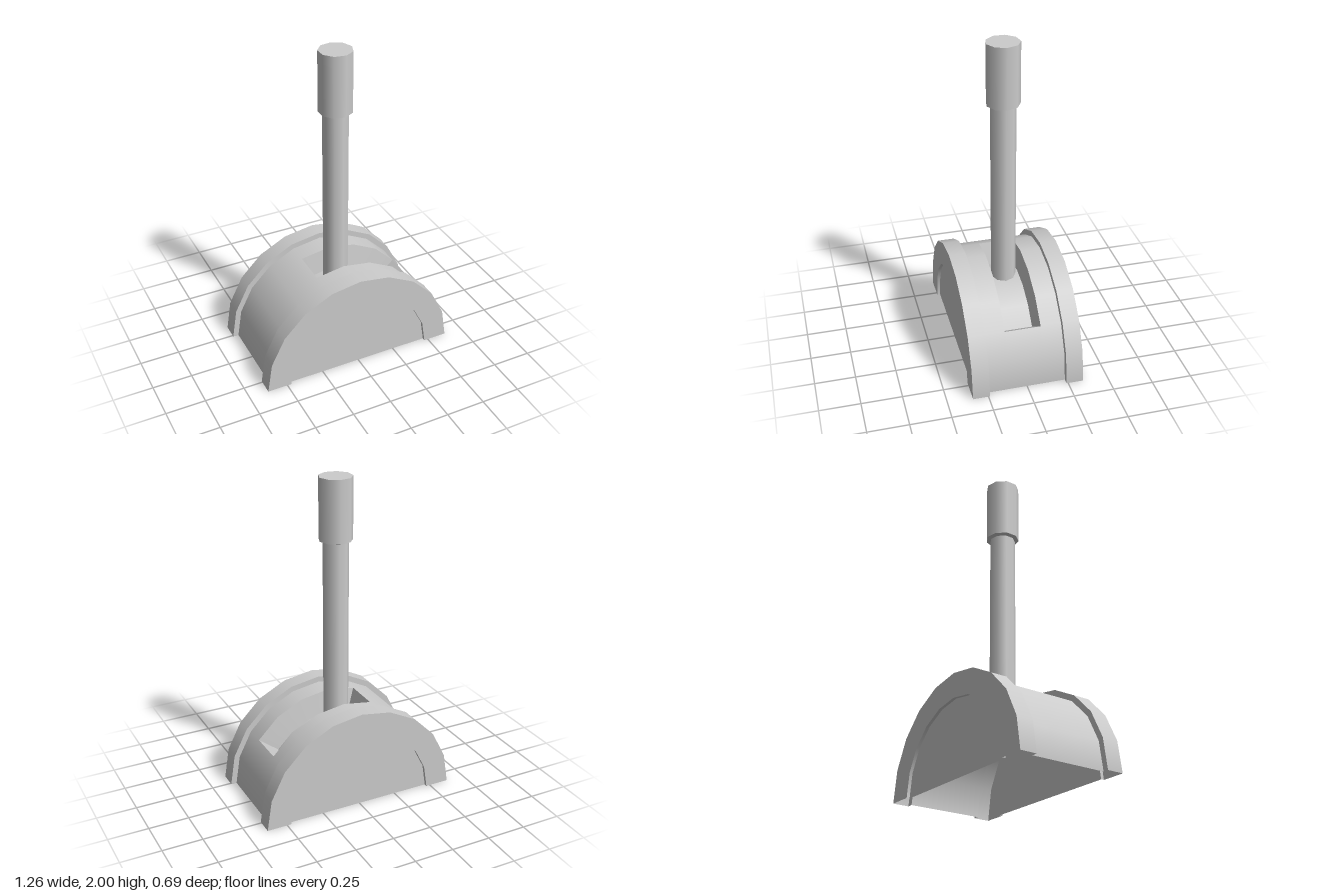
import * as THREE from 'three';
import { mergeGeometries } from 'three/addons/utils/BufferGeometryUtils.js';

const mat = new THREE.MeshStandardMaterial({ color: 0xcccccc, side: THREE.DoubleSide });
const STEP = Math.PI / 10; // one facet of the housing arc
const R_FLANGE = 0.628, R_DRUM = 0.592, R_FLOOR = 0.443, R_DISC = 0.475;
const Z_END = 0.345, Z_DRUM = 0.24, Z_DISC = 0.325;

// Sweeps a [radius, depth] profile about the z axis, from facet a to facet b
// counted from the top towards +x. Every profile segment keeps sharp ends.
function sweep(profile, a = -5, b = 5) {
  const bands = [];
  for (let i = 0; i < profile.length - 1; i++) {
    const points = [profile[i], profile[i + 1]].map(([r, d]) => new THREE.Vector2(r, d));
    bands.push(new THREE.LatheGeometry(points, b - a, a * STEP, (b - a) * STEP));
  }
  return mergeGeometries(bands).rotateX(-Math.PI / 2);
}

// Flat radial wall closing a swept profile at one facet
function radialWall(profile, facet) {
  const shape = new THREE.Shape(profile.map(([r, d]) => new THREE.Vector2(r, d)));
  return new THREE.ShapeGeometry(shape).rotateY(facet * STEP - Math.PI / 2).rotateX(-Math.PI / 2);
}

// Nine-sided rod with a corner towards +x
function rod(rBottom, rTop, y0, y1, open = false) {
  return new THREE.CylinderGeometry(rTop, rBottom, y1 - y0, 9, 1, open, Math.PI / 2)
    .translate(0, (y0 + y1) / 2, 0);
}

export function createModel() {
  const group = new THREE.Group();
  const add = (name, geometry) => {
    const mesh = new THREE.Mesh(geometry, mat);
    mesh.name = name;
    group.add(mesh);
    return mesh;
  };

  // End flanges, each with a shallow recessed half disc
  const flange = sweep([
    [0, -Z_DISC], [R_DISC, -Z_DISC], [R_DISC, -Z_END],
    [R_FLANGE, -Z_END], [R_FLANGE, -Z_DRUM], [R_DRUM, -Z_DRUM],
  ]);
  add('frontFlange', flange);
  add('backFlange', flange).rotation.y = Math.PI;
  // The front flange is symmetric in x, so a half turn gives the back one

  // Drum shell, hollow and open below, with a gap for the lever slot
  const slot = [[R_DRUM, -0.112], [R_FLOOR, -0.093], [R_FLOOR, 0.093], [R_DRUM, 0.112]];
  const SLOT_A = -1, SLOT_B = 3;
  const middle = [[R_DRUM, -0.112], [R_DRUM, 0.112]];
  add('drum', mergeGeometries([
    sweep([[R_DRUM, -Z_DRUM], [R_DRUM, -0.112]]),
    sweep([[R_DRUM, 0.112], [R_DRUM, Z_DRUM]]),
    sweep(middle, -5, SLOT_A),
    sweep(middle, SLOT_B, 5),
  ]));

  // Sunken slot with tapered walls and a curved floor
  add('leverSlot', sweep(slot, SLOT_A, SLOT_B));
  add('slotRearWall', radialWall(slot, SLOT_A));
  add('slotFrontWall', radialWall(slot, SLOT_B));

  // Lever and its grip
  add('leverRod', rod(0.079, 0.079, 0.43, 1.63));
  add('grip', rod(0.103, 0.103, 1.62, 2));
  add('gripCollar', rod(0.079, 0.103, 1.612, 1.62, true));
  return group;
}
